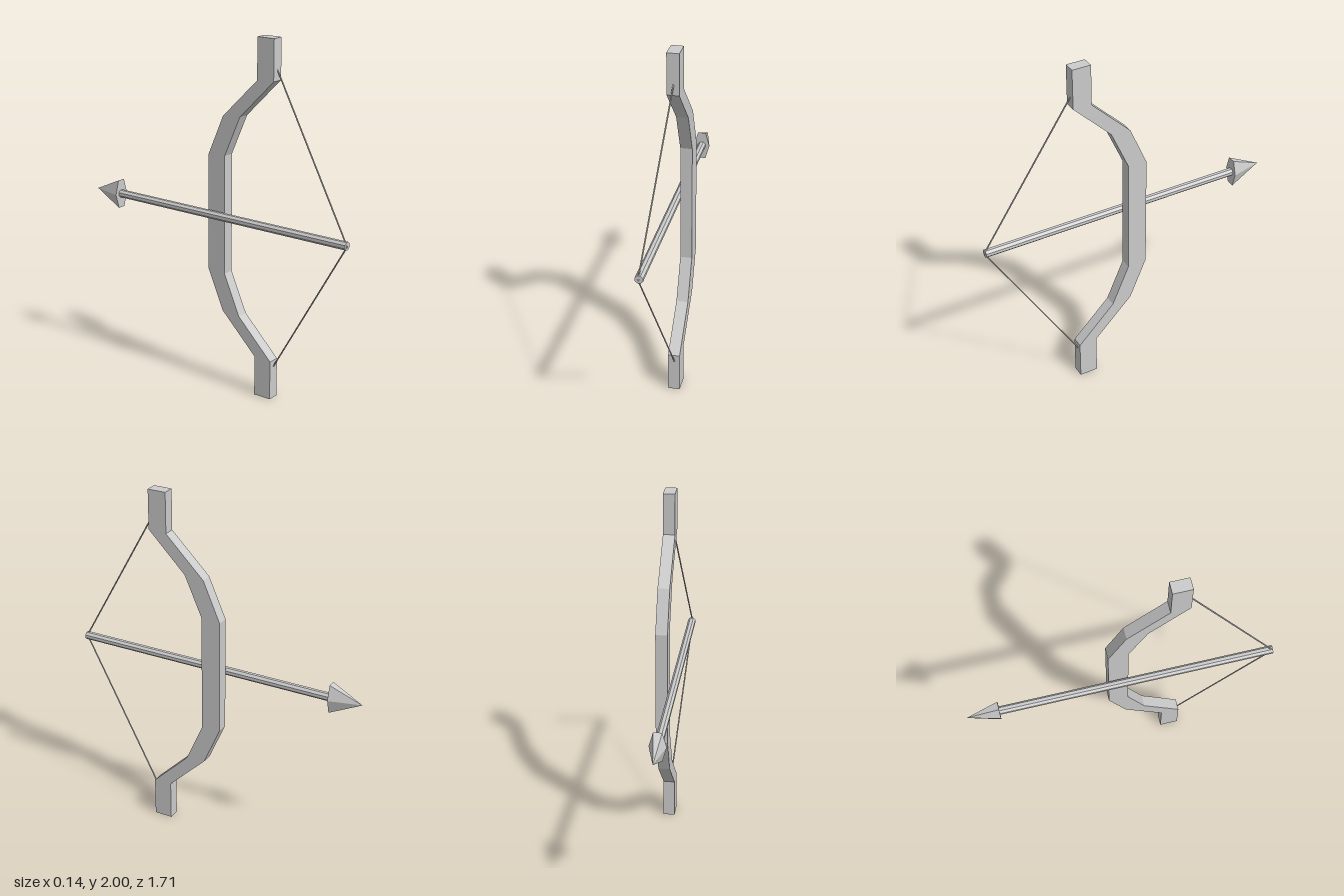
import * as THREE from 'three';

const material = new THREE.MeshStandardMaterial({ color: 0xcccccc, flatShading: true });
const ARROW_X = -0.025;

function addPart(group, name, geometry) {
  const mesh = new THREE.Mesh(geometry, material);
  mesh.name = name;
  group.add(mesh);
  return mesh;
}

// Bow limb: side outline extruded across its width
function bowGeometry() {
  // upper half as [z, y above the middle]
  const belly = [[0.045, 0.335], [0.145, 0.562], [0.36, 0.777], [0.36, 1]];
  const back = [[0.255, 1], [0.255, 0.772], [0.033, 0.553], [-0.065, 0.327]];
  const upper = [...belly, ...back];
  const lower = upper.map(([z, y]) => [z, -y]).reverse();
  // shape x is -z so that a quarter turn about y puts the extrusion along x
  const shape = new THREE.Shape([...upper, ...lower].map(([z, y]) => new THREE.Vector2(-z, y + 1)));
  const geometry = new THREE.ExtrudeGeometry(shape, { depth: 0.065, bevelEnabled: false });
  return geometry.rotateY(Math.PI / 2).translate(0.005, 0, 0);
}

// Thin straight rod between two points
function rodGeometry(a, b, radius) {
  return new THREE.TubeGeometry(new THREE.LineCurve3(a, b), 1, radius, 6, false);
}

export function createModel() {
  const model = new THREE.Group();
  model.name = 'bowAndArrow';

  addPart(model, 'bowLimbs', bowGeometry());

  // Drawn string, two halves meeting at the arrow's tail
  const nock = new THREE.Vector3(-0.029, 1.0, 0.852);
  for (const [name, y] of [['upperString', 1.835], ['lowerString', 0.185]]) {
    addPart(model, name, rodGeometry(new THREE.Vector3(0.04, y, 0.358), nock, 0.004));
  }

  // Arrow pointing to the back
  const arrow = new THREE.Group();
  arrow.name = 'arrow';
  arrow.position.set(ARROW_X, 1.002, 0);
  model.add(arrow);

  const shaft = new THREE.CylinderGeometry(0.023, 0.023, 1.53, 8);
  shaft.rotateY(Math.PI / 8).rotateX(-Math.PI / 2).translate(0, 0, 0.085);
  addPart(arrow, 'arrowShaft', shaft);

  // Flattened six-sided head
  const head = new THREE.ConeGeometry(1, 0.18, 6);
  head.rotateY(Math.PI / 6).rotateX(-Math.PI / 2).scale(0.046, 0.094, 1).translate(0, 0, -0.767);
  addPart(arrow, 'arrowHead', head);

  return model;
}
